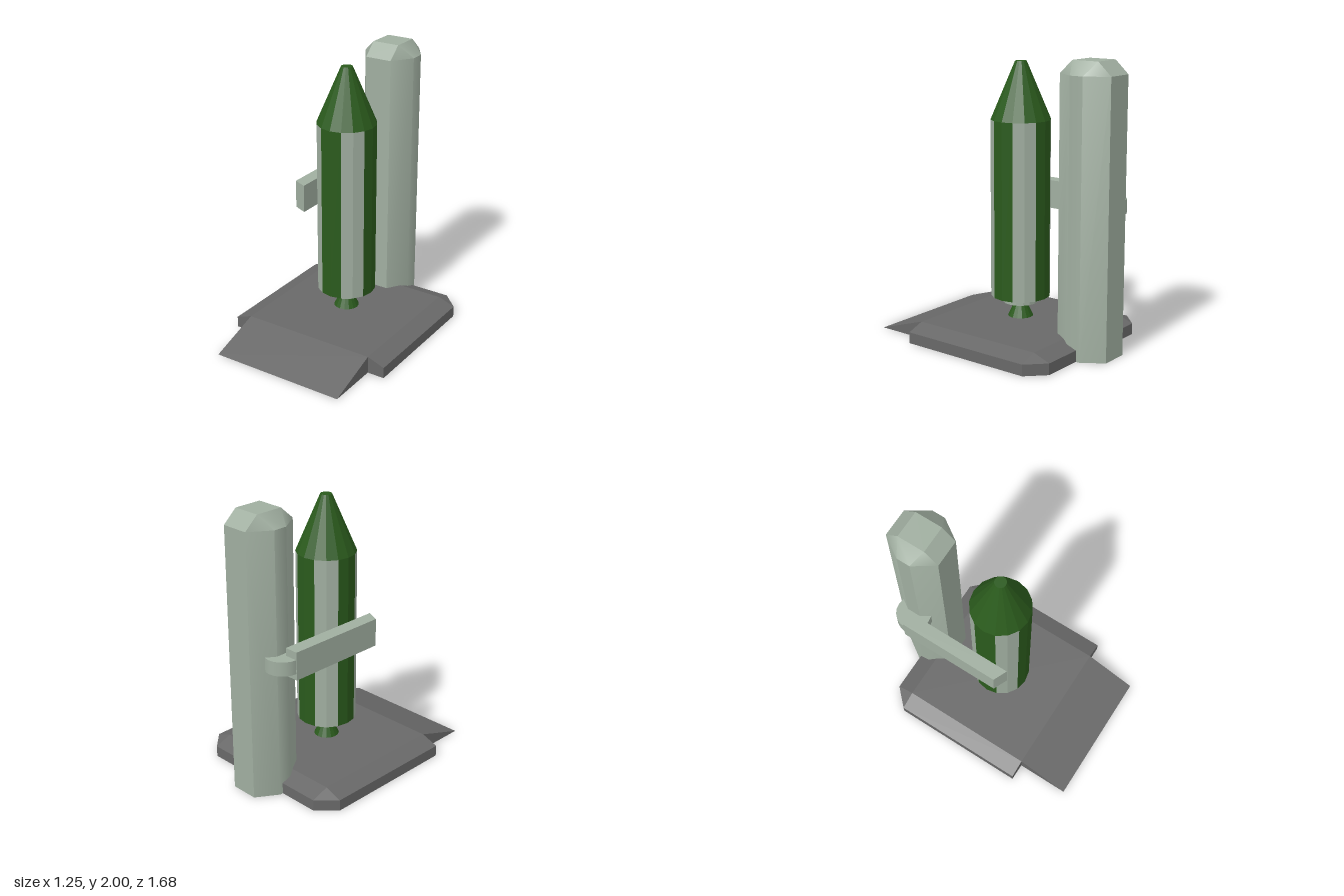
import * as THREE from 'three';
import { toCreasedNormals } from 'three/addons/utils/BufferGeometryUtils.js';
import { ConvexGeometry } from 'three/addons/geometries/ConvexGeometry.js';

const flat = (color) => new THREE.MeshStandardMaterial({ color, flatShading: true });
const smooth = (color) => new THREE.MeshStandardMaterial({ color });
const GREEN = 0x2a5a1c, PALE = 0xa0aea0, DARK = 0x686868;

function add(parent, name, geometry, material, x = 0, y = 0, z = 0) {
  const mesh = new THREE.Mesh(geometry, material);
  mesh.name = name;
  mesh.position.set(x, y, z);
  parent.add(mesh);
  return mesh;
}

// Convex solid from points given on the +x side and mirrored to -x
function mirroredHull(points) {
  return new ConvexGeometry(points.flatMap(([x, y, z]) =>
    [new THREE.Vector3(x, y, z), new THREE.Vector3(-x, y, z)]));
}

function createPad() {
  const pad = new THREE.Group();
  pad.name = 'launchPad';
  // Slab with bevelled sides and cut back corners
  const outline = [[0.625, 0.46], [0.625, -0.54], [0.5, -0.665]];
  const points = [0, 0.08].flatMap((y) => outline.map(([x, z]) => [x, y, z]));
  points.push([0.5, 0.125, 0.46], [0.5, 0.125, -0.54]);
  add(pad, 'padSlab', mirroredHull(points), flat(DARK));
  // Wedge ramp at the front
  add(pad, 'ramp', mirroredHull([[0.5, 0, 0.46], [0.5, 0.125, 0.46], [0.5, 0, 0.84]]), flat(DARK));
  return pad;
}

function createTower() {
  const tower = new THREE.Group();
  tower.name = 'tower';
  // Eight-sided column with a bevelled roof
  const outline = [[0.1, -0.44], [0.2, -0.59], [0.2, -0.69], [0.1, -0.84]];
  const points = [0, 1.91].flatMap((y) => outline.map(([x, z]) => [x, y, z]));
  points.push([0.1, 2, -0.54], [0.1, 2, -0.74]);
  add(tower, 'towerColumn', toCreasedNormals(mirroredHull(points), 0.62), smooth(PALE));

  // Round hinge and swing arm
  const hinge = new THREE.CylinderGeometry(0.125, 0.125, 0.1, 20);
  add(tower, 'armHinge', hinge, smooth(PALE), -0.2, 1, -0.64);
  const armPlan = new THREE.Shape([[-0.33, 0.64], [-0.33, -0.11], [-0.23, -0.155], [-0.23, 0.64]]
    .map(([x, y]) => new THREE.Vector2(x, y)));
  const arm = new THREE.ExtrudeGeometry(armPlan, { depth: 0.2, bevelEnabled: false });
  arm.rotateX(-Math.PI / 2);
  add(tower, 'swingArm', arm, flat(PALE), 0, 0.905, 0);
  return tower;
}

function createRocket() {
  const rocket = new THREE.Group();
  rocket.name = 'rocket';
  rocket.position.z = -0.04;
  const green = flat(GREEN), pale = flat(PALE);
  // Alternating vertical stripes, two facets each
  const step = Math.PI / 4;
  for (let i = 0; i < 8; i++) {
    const stripe = new THREE.CylinderGeometry(0.21, 0.21, 1.255, 2, 1, true, (i - 0.5) * step, step);
    add(rocket, 'bodyStripe', stripe, i % 2 ? pale : green, 0, 0.9325, 0);
  }
  const floor = new THREE.CircleGeometry(0.21, 16);
  floor.rotateX(Math.PI / 2);
  add(rocket, 'bodyFloor', floor, green, 0, 0.305, 0);
  add(rocket, 'noseCone', new THREE.CylinderGeometry(0.04, 0.21, 0.4, 16), green, 0, 1.76, 0);
  add(rocket, 'engineRing', new THREE.CylinderGeometry(0.125, 0.125, 0.05, 16), pale, 0, 0.28, 0);
  add(rocket, 'nozzle', new THREE.CylinderGeometry(0.04, 0.09, 0.105, 16), green, 0, 0.2025, 0);
  return rocket;
}

export function createModel() {
  const model = new THREE.Group();
  model.name = 'rocketOnLaunchPad';
  model.add(createPad(), createTower(), createRocket());
  return model;
}
